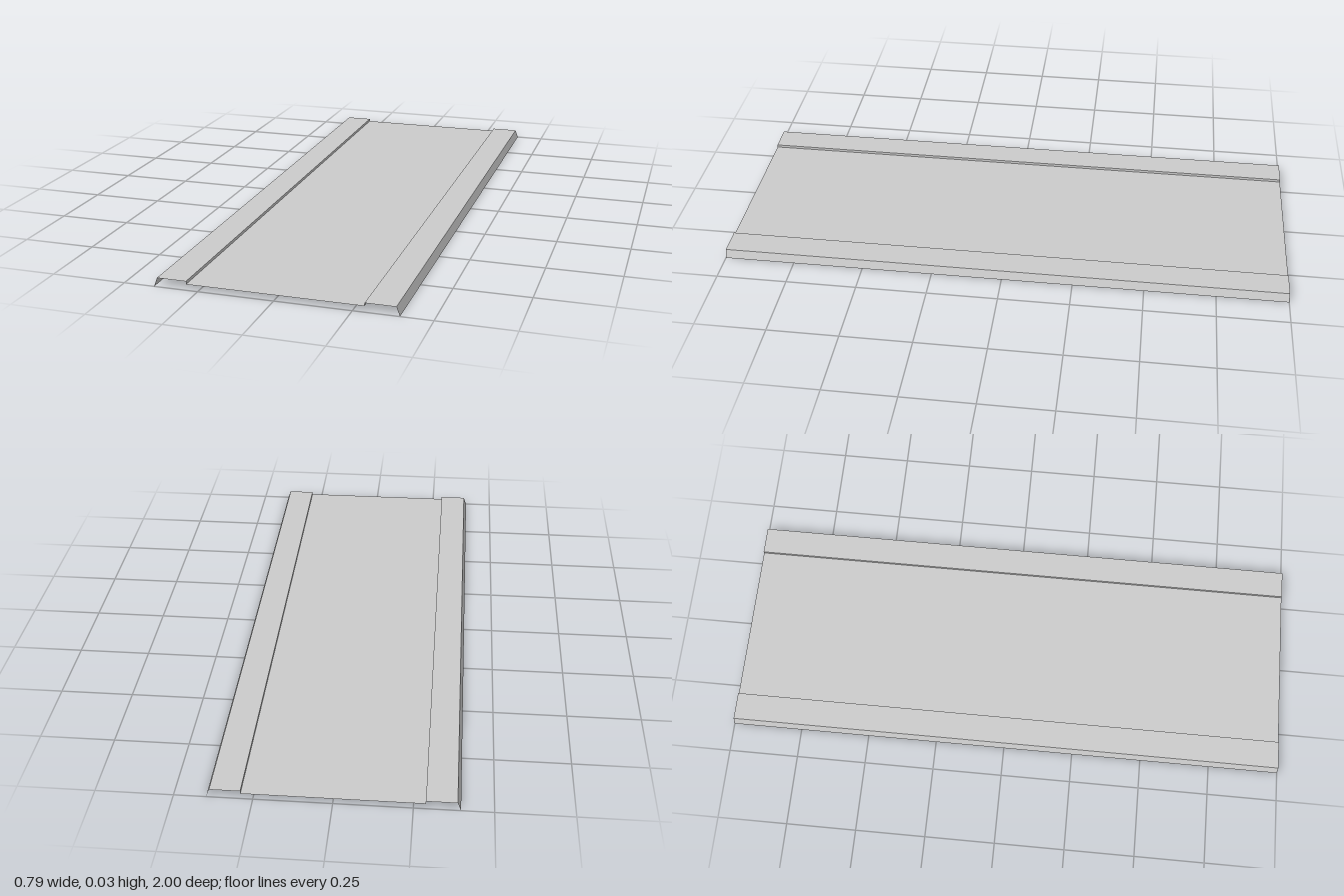
import * as THREE from 'three';

// Half profile of the folded sheet, from the centre panel out to the lip
const STEP_X = 0.288, FOLD_X = 0.386, EDGE_X = 0.397;
const TOP_Y = 0.03, PANEL_Y = 0.02;
const LENGTH = 2;

const material = new THREE.MeshStandardMaterial({ color: 0xcccccc, side: THREE.DoubleSide });

// Flat strip running the whole length between two profile points, left end first
function strip(name, [x0, y0], [x1, y1]) {
  const geometry = new THREE.PlaneGeometry(Math.hypot(x1 - x0, y1 - y0), LENGTH);
  geometry.rotateX(-Math.PI / 2);
  geometry.rotateZ(Math.atan2(y1 - y0, x1 - x0));
  geometry.translate((x0 + x1) / 2, (y0 + y1) / 2, 0);
  const mesh = new THREE.Mesh(geometry, material);
  mesh.name = name;
  return mesh;
}

export function createModel() {
  const model = new THREE.Group();
  model.name = 'foldedSheetPanel';

  // Recessed middle panel
  model.add(strip('centrePanel', [-STEP_X, PANEL_Y], [STEP_X, PANEL_Y]));

  // Raised border, step and sloping lip on each long side
  for (const [side, s] of [['left', 1], ['right', -1]]) {
    const folds = [
      ['Step', [s * STEP_X, PANEL_Y], [s * STEP_X, TOP_Y]],
      ['Border', [s * STEP_X, TOP_Y], [s * FOLD_X, TOP_Y]],
      ['Lip', [s * FOLD_X, TOP_Y], [s * EDGE_X, 0]],
    ];
    for (const [part, a, b] of folds) {
      model.add(s > 0 ? strip(side + part, a, b) : strip(side + part, b, a));
    }
  }
  return model;
}
